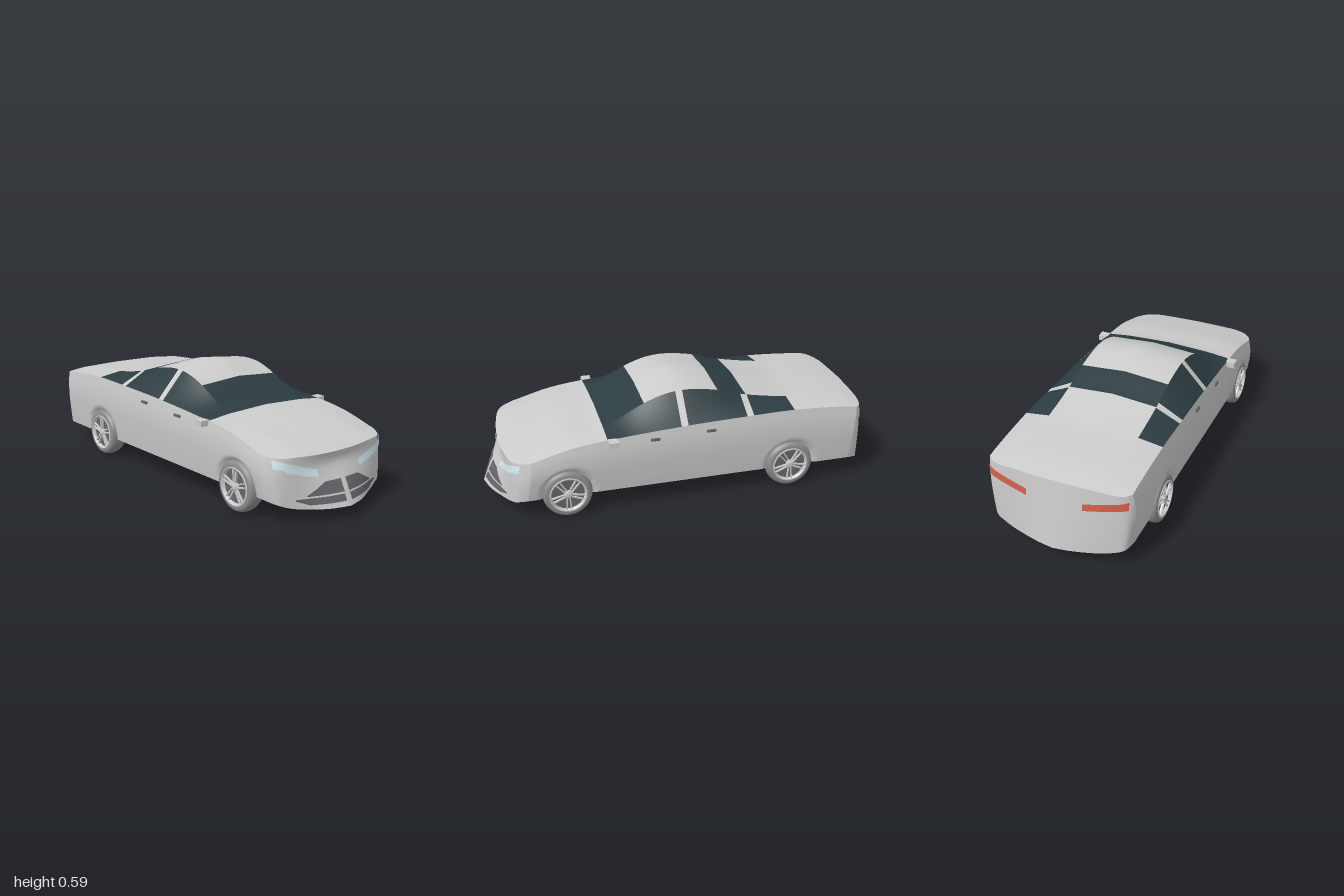
import * as THREE from 'three';

const { lerp, smoothstep } = THREE.MathUtils;
const paint = (color) => new THREE.MeshStandardMaterial({ color, side: THREE.DoubleSide });
const grey = paint(0xcccccc), glass = paint(0x2c3c40), dark = paint(0x68656a);
const lamp = paint(0xd4ecf2), red = paint(0xd0604a), rubber = paint(0x8c8c8c);

// Smooth curve through [input, output] points
function curve(pts) {
  const n = pts.length;
  const slope = (i) => {
    const a = pts[Math.max(i - 1, 0)], b = pts[Math.min(i + 1, n - 1)];
    return (b[1] - a[1]) / (b[0] - a[0]);
  };
  return (x) => {
    let i = 0;
    while (i < n - 2 && x > pts[i + 1][0]) i++;
    const [x0, y0] = pts[i], [x1, y1] = pts[i + 1], h = x1 - x0;
    const t = Math.min(Math.max((x - x0) / h, 0), 1), t2 = t * t, t3 = t2 * t;
    return (2 * t3 - 3 * t2 + 1) * y0 + (t3 - 2 * t2 + t) * h * slope(i)
      + (3 * t2 - 2 * t3) * y1 + (t3 - t2) * h * slope(i + 1);
  };
}

// Length profiles: centre line, roof rail and belt line
const centre = curve([[-0.95, 0.412], [-0.85, 0.43], [-0.7, 0.445], [-0.55, 0.46], [-0.33, 0.508], [-0.18, 0.553],
  [-0.06, 0.58], [0.02, 0.586], [0.1, 0.568], [0.2, 0.523], [0.41, 0.417], [0.6, 0.388], [0.8, 0.34], [0.88, 0.318], [0.915, 0.302]]);
const rail = curve([[-0.95, 0.408], [-0.85, 0.427], [-0.7, 0.441], [-0.55, 0.452], [-0.33, 0.49], [-0.18, 0.533],
  [-0.06, 0.553], [0.02, 0.555], [0.1, 0.543], [0.2, 0.507], [0.41, 0.407], [0.6, 0.382], [0.8, 0.335], [0.88, 0.313], [0.915, 0.3]]);
const belt = curve([[-0.95, 0.395], [-0.85, 0.415], [-0.55, 0.434], [-0.3, 0.43], [0, 0.42],
  [0.41, 0.393], [0.6, 0.368], [0.8, 0.315], [0.9, 0.298]]);
const HALF = 0.36, RAIL = 0.235 / HALF;

// Plan outlines of the two ends, low edge and high edge
const noseLow = curve([[0, 1], [0.28, 0.972], [0.55, 0.925], [0.8, 0.885], [0.93, 0.86], [1, 0.81]]);
const noseHigh = (q) => 0.913 - 0.05 * q * q - 0.075 * q ** 12;
const tailLow = curve([[0, -1], [0.2, -0.99], [0.45, -0.97], [0.8, -0.94], [0.95, -0.92], [1, -0.87]]);
const tailHigh = (q) => -0.948 + 0.02 * q * q + 0.035 * q ** 12;
const noseLean = curve([[0, 0], [0.35, 0.5], [0.75, 1.08], [0.9, 1.1], [1, 1]]);
const width = curve([[0, 0.354], [0.2, 0.362], [0.55, 0.371], [0.8, 0.369], [1, HALF]]);
const WHEEL_Z = [0.615, -0.54], WHEEL_Y = 0.127;

function topY(u, z) {
  const q = Math.abs(u);
  return q < RAIL ? lerp(centre(z), rail(z), q / RAIL) : lerp(rail(z), belt(z), (q - RAIL) / (1 - RAIL));
}

// Body wall point: u across, w from tail to nose, t from sill to belt
function wallPoint(u, w, t) {
  const q = Math.abs(u);
  const nose = lerp(noseLow(q), noseHigh(q), noseLean(t));
  const tail = lerp(tailLow(q), tailHigh(q), t);
  const z = lerp(tail, nose, w);
  const y = lerp(0.06 + 0.05 * q ** 4, topY(u, lerp(tailHigh(q), noseHigh(q), w)), t);
  let x = u * width(t);
  // hollow behind each wheel
  for (const wz of WHEEL_Z) {
    const d = Math.hypot(z - wz, y - WHEEL_Y);
    x *= 1 - 0.06 * (1 - smoothstep(d, 0.115, 0.14));
  }
  return [x, y, z];
}

// Grid surface from a rule of (a, b) in 0..1
function surface(name, material, na, nb, rule) {
  const geo = new THREE.PlaneGeometry(1, 1, na, nb), p = geo.attributes.position;
  for (let i = 0; i < p.count; i++) p.setXYZ(i, ...rule(p.getX(i) + 0.5, 0.5 - p.getY(i)));
  geo.computeVertexNormals();
  const mesh = new THREE.Mesh(geo, material);
  mesh.name = name;
  return mesh;
}

// Patch of the upper skin between two widths and two lengths
function skin(name, material, u0, u1, front, back, na = 8, nb = 14) {
  return surface(name, material, na, nb, (a, b) => {
    const u = lerp(u0, u1, a), q = Math.abs(u);
    const z = lerp(typeof front === 'number' ? front : front(q), typeof back === 'number' ? back : back(q), b);
    return [u * HALF, topY(u, z), z];
  });
}

// Flush trim on the nose (w = 1) or tail (w = 0); columns are [x, low y, high y]
function trim(name, material, side, w, cols) {
  const at = (x, k) => {
    let i = 0;
    while (i < cols.length - 2 && x > cols[i + 1][0]) i++;
    return lerp(cols[i][k], cols[i + 1][k], (x - cols[i][0]) / (cols[i + 1][0] - cols[i][0]));
  };
  return surface(name, material, 30, 4, (a, b) => {
    const x = lerp(cols[0][0], cols[cols.length - 1][0], a), y = lerp(at(x, 2), at(x, 1), b);
    const q = Math.min(x / 0.367, 1), low = 0.06 + 0.05 * q ** 4;
    const t = (y - low) / (topY(q, w ? noseHigh(q) : tailHigh(q)) - low);
    const p = wallPoint(Math.min(x / width(t), 1), w, t);
    return [side * p[0] * 1.006, p[1], p[2] + (w ? 0.006 : -0.006)];
  });
}

function box(name, material, size, pos) {
  const mesh = new THREE.Mesh(new THREE.BoxGeometry(...size), material);
  mesh.position.set(...pos);
  mesh.name = name;
  return mesh;
}

function lathe(name, material, pts) {
  const mesh = new THREE.Mesh(new THREE.LatheGeometry(pts.map((p) => new THREE.Vector2(...p)), 32), material);
  mesh.name = name;
  return mesh;
}

// Wheel with its axle along y, outer face up
function makeWheel() {
  const wheel = new THREE.Group();
  wheel.name = 'wheel';
  wheel.add(lathe('tyre', rubber, [[0, -0.04], [0.09, -0.045], [0.112, -0.04], [0.121, -0.022], [0.125, 0],
    [0.124, 0.018], [0.118, 0.036], [0.108, 0.043], [0.094, 0.043]]));
  wheel.add(lathe('rim', grey, [[0.094, 0.043], [0.093, 0.047], [0.086, 0.047], [0.082, 0.03]]));
  wheel.add(lathe('rimBack', dark, [[0.084, 0.03], [0.02, 0.028], [0, 0.028]]));
  wheel.add(lathe('hub', grey, [[0.02, 0.028], [0.019, 0.043], [0.012, 0.046], [0, 0.046]]));
  for (let i = 0; i < 5; i++) {
    const arm = new THREE.Group();
    arm.name = 'spoke';
    arm.rotation.y = (i * Math.PI * 2) / 5;
    for (const s of [-1, 1]) {
      const bar = box('spokeBar', grey, [0.072, 0.01, 0.006], [0.05, 0.038, s * 0.009]);
      bar.rotation.y = -s * 0.09;
      arm.add(bar);
    }
    wheel.add(arm);
  }
  return wheel;
}

export function createModel() {
  const car = new THREE.Group();
  car.name = 'car';

  // Lower body: one wall right round, and the floor
  const loop = [], END = 40, SIDE = 90;
  for (let i = 0; i < END; i++) loop.push([Math.sin((i / END - 0.5) * Math.PI), 1]);
  for (let i = 0; i < SIDE; i++) loop.push([1, 1 - i / SIDE]);
  for (let i = 0; i < END; i++) loop.push([Math.sin((0.5 - i / END) * Math.PI), 0]);
  for (let i = 0; i <= SIDE; i++) loop.push([-1, i / SIDE]);
  const last = loop.length - 1;
  car.add(surface('bodyWall', grey, last, 20, (a, b) => wallPoint(...loop[Math.round(a * last)], 1 - b)));
  car.add(surface('floor', grey, 40, 40, (a, b) => wallPoint(Math.sin((a - 0.5) * Math.PI), b, 0)));

  // Upper skin
  car.add(skin('bonnet', grey, -1, 1, noseHigh, 0.41, 48, 24));
  car.add(skin('windscreen', glass, -RAIL, RAIL, 0.41, 0.2));
  car.add(skin('roof', grey, -RAIL, RAIL, 0.2, -0.18, 8, 20));
  car.add(skin('rearWindow', glass, -RAIL, RAIL, -0.18, -0.33));
  car.add(skin('rearPanel', grey, -RAIL, RAIL, -0.33, -0.55));
  car.add(skin('bootLid', grey, -1, 1, -0.55, tailHigh, 48, 20));

  for (const s of [1, -1]) {
    // Side glass and pillars
    car.add(skin('frontSideWindow', glass, s * RAIL, s, 0.41, 0.04));
    car.add(skin('middlePillar', grey, s * RAIL, s, 0.04, 0.005));
    car.add(skin('rearSideWindow', glass, s * RAIL, s, 0.005, -0.3));
    car.add(skin('rearPillar', grey, s * RAIL, s, -0.3, -0.335));
    car.add(skin('quarterWindow', glass, s * RAIL, s, -0.335, -0.55));

    // Lights and grille
    car.add(trim('headlight', lamp, s, 1, [[0.13, 0.206, 0.235], [0.2, 0.216, 0.256], [0.24, 0.232, 0.272],
      [0.29, 0.242, 0.287], [0.305, 0.258, 0.292], [0.342, 0.264, 0.304]]));
    car.add(trim('tailLight', red, s, 0, [[0.14, 0.295, 0.33], [0.35, 0.335, 0.376]]));
    car.add(trim('grille', dark, s, 1, [[0.014, 0.124, 0.18], [0.105, 0.124, 0.18], [0.203, 0.124, 0.127]]));
    car.add(trim('lowerIntake', dark, s, 1, [[0.016, 0.085, 0.116], [0.19, 0.085, 0.116], [0.255, 0.11, 0.116]]));

    // Mirrors and door handles
    car.add(box('mirror', grey, [0.05, 0.028, 0.05], [s * 0.38, 0.383, 0.385]));
    car.add(box('frontHandle', dark, [0.012, 0.012, 0.045], [s * 0.369, 0.37, 0.175]));
    car.add(box('rearHandle', dark, [0.012, 0.012, 0.045], [s * 0.369, 0.381, -0.11]));

    for (const z of WHEEL_Z) {
      const wheel = makeWheel();
      wheel.rotation.z = (-s * Math.PI) / 2;
      wheel.position.set(s * 0.329, 0.125, z);
      car.add(wheel);
    }
  }

  // Slats on the grille divider
  for (let i = 0; i < 5; i++) {
    const y = 0.137 + i * 0.009;
    for (const s of [1, -1]) car.add(trim('grilleSlat', grey, s, 1, [[0, y, y + 0.004], [0.017, y, y + 0.004]]));
  }
  return car;
}
